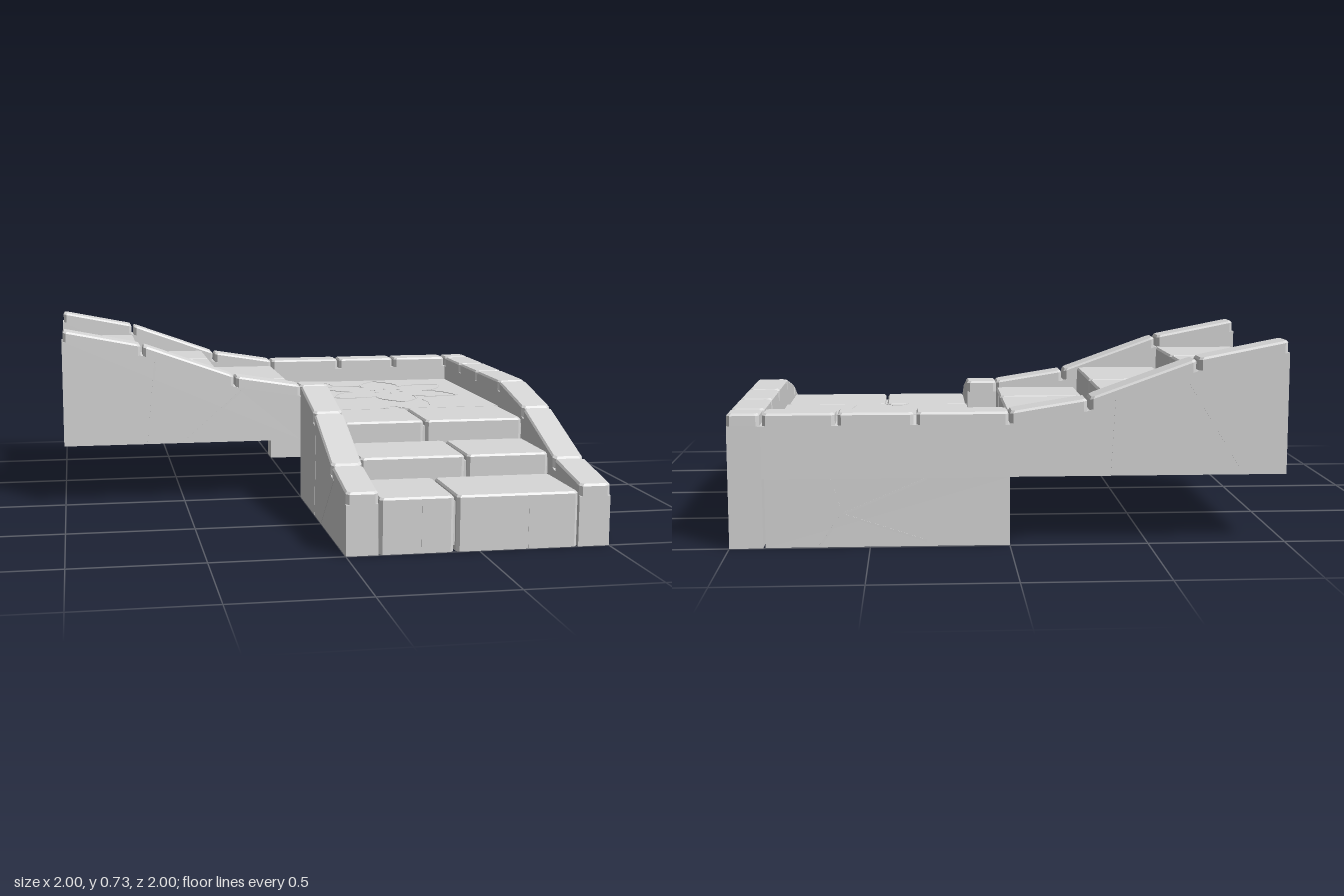
import * as THREE from 'three';

const stoneMat = new THREE.MeshStandardMaterial({ color: 0xd8d8d8 });
stoneMat.name = 'stone';

const GAP = 0.005, W = 0.12, CAP = 0.045;

// Hewn block: cut vertical corners and a chamfered top; lift(x, z) slopes it
function stone(name, x0, x1, y0, y1, z0, z1, lift = () => 0, cut = 0.012) {
  const ring = (y, d) => {
    const a = x0 + d, b = x1 - d, e = z0 + d, f = z1 - d, c = cut;
    return [[a + c, f], [b - c, f], [b, f - c], [b, e + c], [b - c, e], [a + c, e], [a, e + c], [a, f - c]]
      .map(([x, z]) => new THREE.Vector3(x, y + lift(x, z), z));
  };
  const rings = [ring(y0, 0), ring(y1 - 0.008, 0), ring(y1, 0.006)];
  const p = [];
  const tri = (...v) => v.forEach((q) => p.push(q.x, q.y, q.z));
  for (let r = 0; r < 2; r++) {
    for (let i = 0; i < 8; i++) {
      const j = (i + 1) % 8, A = rings[r], B = rings[r + 1];
      tri(A[i], A[j], B[j]);
      tri(A[i], B[j], B[i]);
    }
  }
  for (let i = 1; i < 7; i++) {
    tri(rings[2][0], rings[2][i], rings[2][i + 1]);
    tri(rings[0][0], rings[0][i + 1], rings[0][i]);
  }
  const g = new THREE.BufferGeometry();
  g.setAttribute('position', new THREE.Float32BufferAttribute(p, 3));
  g.computeVertexNormals();
  const m = new THREE.Mesh(g, stoneMat);
  m.name = name;
  return m;
}

function block(name, x0, x1, y0, y1, z0, z1) {
  const m = new THREE.Mesh(new THREE.BoxGeometry(x1 - x0, y1 - y0, z1 - z0), stoneMat);
  m.position.set((x0 + x1) / 2, (y0 + y1) / 2, (z0 + z1) / 2);
  m.name = name;
  return m;
}

// Thin carved line through 2D points, lying in the XY plane of its group
function groove(points, width = 0.007) {
  const g = new THREE.Group();
  g.name = 'carvedLine';
  for (let i = 0; i + 1 < points.length; i++) {
    const [ax, ay] = points[i], [bx, by] = points[i + 1];
    const m = new THREE.Mesh(new THREE.BoxGeometry(Math.hypot(bx - ax, by - ay) + width * 0.5, width, 0.003), stoneMat);
    m.position.set((ax + bx) / 2, (ay + by) / 2, 0);
    m.rotation.z = Math.atan2(by - ay, bx - ax);
    m.name = 'carvedSegment';
    g.add(m);
  }
  return g;
}

// A group of carved lines laid on one face
function face(name, rx, ry, pos, lines) {
  const g = new THREE.Group();
  g.name = name;
  g.rotation.set(rx, ry, 0);
  g.position.set(...pos);
  lines.forEach((l) => g.add(groove(l)));
  return g;
}

// Rail top, as z and height from the foot of a flight to its head
const RAIL = [[1, 0.235], [0.72, 0.28], [0.33, 0.42], [0, 0.485]];

function rail(x0) {
  const g = new THREE.Group();
  g.name = 'stairRail';
  const s = new THREE.Shape();
  s.moveTo(0, 0);
  s.lineTo(-1, 0);
  RAIL.forEach(([z, h]) => s.lineTo(-z, h - CAP));
  const geo = new THREE.ExtrudeGeometry(s, { depth: W, bevelEnabled: false });
  geo.rotateY(Math.PI / 2);
  const body = new THREE.Mesh(geo, stoneMat);
  body.name = 'railBody';
  body.position.x = x0;
  g.add(body);
  for (let i = 0; i < 3; i++) {
    const [za, ha] = RAIL[i], [zb, hb] = RAIL[i + 1];
    const lift = (x, z) => ha + (hb - ha) * (za - z) / (za - zb);
    g.add(stone('railCap', x0, x0 + W, -CAP, 0, zb + GAP, za - (i ? GAP : 0), lift));
  }
  return g;
}

// One flight: three rows of paving stones between two rails
function flight() {
  const g = new THREE.Group();
  g.add(rail(0), rail(1 - W));
  const rows = [[0.667, 1, 0.21, 0.408], [0.335, 0.667, 0.292, 0.543], [0, 0.335, 0.375, 0.463]];
  rows.forEach(([z0, z1, h, split]) => {
    const a = z0 + (z0 ? GAP : 0), b = z1 - (z1 < 1 ? GAP : 0);
    g.add(stone('stepStone', W + 0.004, split - GAP, 0, h, a, b));
    g.add(stone('stepStone', split + GAP, 1 - W - 0.004, 0, h, a, b));
    g.add(block('stepBed', W - 0.01, 1 - W + 0.01, 0.02, h - 0.025,
      z0 ? z0 - 0.02 : 0.02, z1 < 1 ? z1 - 0.02 : 0.975));
  });
  // Cracks on the outer, inner and end faces
  g.add(face('outerCracks', 0, Math.PI / 2, [1, 0, 0],
    [[[-0.62, 0.28], [-0.635, 0.004]], [[-0.38, 0.37], [-0.155, 0.004]]]));
  g.add(face('innerCracks', 0, -Math.PI / 2, [0, 0, 0],
    [[[0.385, 0.36], [0.35, 0.004]], [[0.76, 0.23], [0.5, 0.004]]]));
  g.add(face('endCracks', 0, 0, [0, 0, 1], [[[0.285, 0.004], [0.285, 0.195]], [[0.69, 0.004], [0.69, 0.195]]]));
  return g;
}

// Six-petalled flower carved in the landing floor
function flower() {
  const g = new THREE.Group();
  g.name = 'carvedFlower';
  const half = new THREE.CubicBezierCurve(new THREE.Vector2(0.085, 0.15), new THREE.Vector2(0.1, 0.22),
    new THREE.Vector2(0.07, 0.265), new THREE.Vector2(0, 0.335)).getPoints(8).map((p) => [p.x, p.y]);
  for (let k = 0; k < 6; k++) {
    const petal = new THREE.Group();
    petal.name = 'petal';
    petal.rotation.z = k * Math.PI / 3;
    petal.add(groove(half, 0.009), groove(half.map(([x, y]) => [-x, y]), 0.009));
    const tick = new THREE.Mesh(new THREE.CylinderGeometry(0.001, 0.009, 0.03, 3), stoneMat);
    tick.name = 'petalTick';
    tick.scale.z = 0.15;
    tick.position.y = 0.075;
    petal.add(tick);
    g.add(petal);
  }
  const ring = new THREE.Mesh(new THREE.RingGeometry(0.021, 0.028, 20), stoneMat);
  ring.name = 'flowerCentre';
  ring.position.z = 0.002;
  g.add(ring);
  g.rotation.x = -Math.PI / 2;
  g.position.set(0.5, 0.376, -0.505);
  return g;
}

// Landing: raised floor slab on two thin walls, hollow below
function landing() {
  const g = new THREE.Group();
  g.name = 'landing';
  const I = 1 - W, R = 0.006, top = 0.485, under = top - CAP;
  g.add(block('landingFloor', 0, I, 0.25, 0.375, -I, 0));
  g.add(block('sideWall', I, 1, 0.25, under, -I, 0), block('backWall', 0, I, 0.25, under, -1, -I));
  g.add(block('sidePanel', I, 1 - R, 0, 0.25, -I + 0.008, 0), block('backPanel', 0, I - 0.008, 0, 0.25, -1 + R, -I));
  g.add(block('cornerPost', I, 1, 0, under, -1, -I));
  g.add(block('innerPost', 0, W, 0.375, under, -W, 0));
  // Coping stones
  g.add(stone('copingStone', 0, W, under, top, -W, -GAP), stone('copingStone', I + GAP, 1, under, top, -1, -I - GAP));
  const cuts = [0, 0.337, 0.615, I];
  for (let i = 0; i < 3; i++) {
    const a = cuts[i] + GAP, b = cuts[i + 1] - GAP;
    g.add(stone('copingStone', I, 1, under, top, -b, -a));
    g.add(stone('copingStone', a, b, under, top, -1, -I));
  }
  // Wall and floor cracks
  g.add(face('sideCracks', 0, Math.PI / 2, [1 - R, 0, 0], [
    [[0.2, 0.004], [0.26, 0.1], [0.53, 0.245]], [[0.26, 0.1], [0.27, 0.245]], [[0.7, 0.245], [0.74, 0.004]]]));
  g.add(face('sideSeam', 0, Math.PI / 2, [1, 0, 0], [
    [[0.005, 0.27], [0.005, 0.36], [0.02, 0.375], [0.52, 0.375]], [[0.6, 0.375], [0.86, 0.375]],
    [[0.69, 0.385], [0.73, 0.435]]]));
  g.add(face('backCracks', 0, Math.PI, [0, 0, -1 + R], [
    [[-0.68, 0.004], [-0.6, 0.12], [-0.3, 0.02]], [[-0.6, 0.12], [-0.64, 0.245]], [[-0.6, 0.12], [-0.3, 0.245]]]));
  g.add(face('floorCracks', -Math.PI / 2, 0, [0, 0.375, 0], [
    [[0.25, 0.87], [0.265, 0.81], [0.28, 0.74]], [[0.6, 0.23], [0.605, 0.15], [0.59, 0.05]],
    [[0.37, 0.005], [0.39, 0.04], [0.43, 0.045], [0.46, 0.005]]]));
  // Seams under the floor
  g.add(face('ceilingSeams', Math.PI / 2, 0, [0, 0.25, 0], [
    [[0, -0.33], [I, -0.33]], [[0, -0.64], [I, -0.64]],
    [[0.45, -0.33], [0.45, 0]], [[0.6, -0.64], [0.6, -0.33]], [[0.35, -I], [0.35, -0.64]]]));
  g.add(flower());
  return g;
}

export function createModel() {
  const model = new THREE.Group();
  model.name = 'cornerStaircase';
  const lower = flight();
  lower.name = 'lowerFlight';
  // The upper flight is the same stair, turned and raised
  const upper = flight();
  upper.name = 'upperFlight';
  upper.rotation.y = Math.PI / 2;
  upper.position.set(-1, 0.25, 0);
  model.add(lower, upper, landing());
  return model;
}
